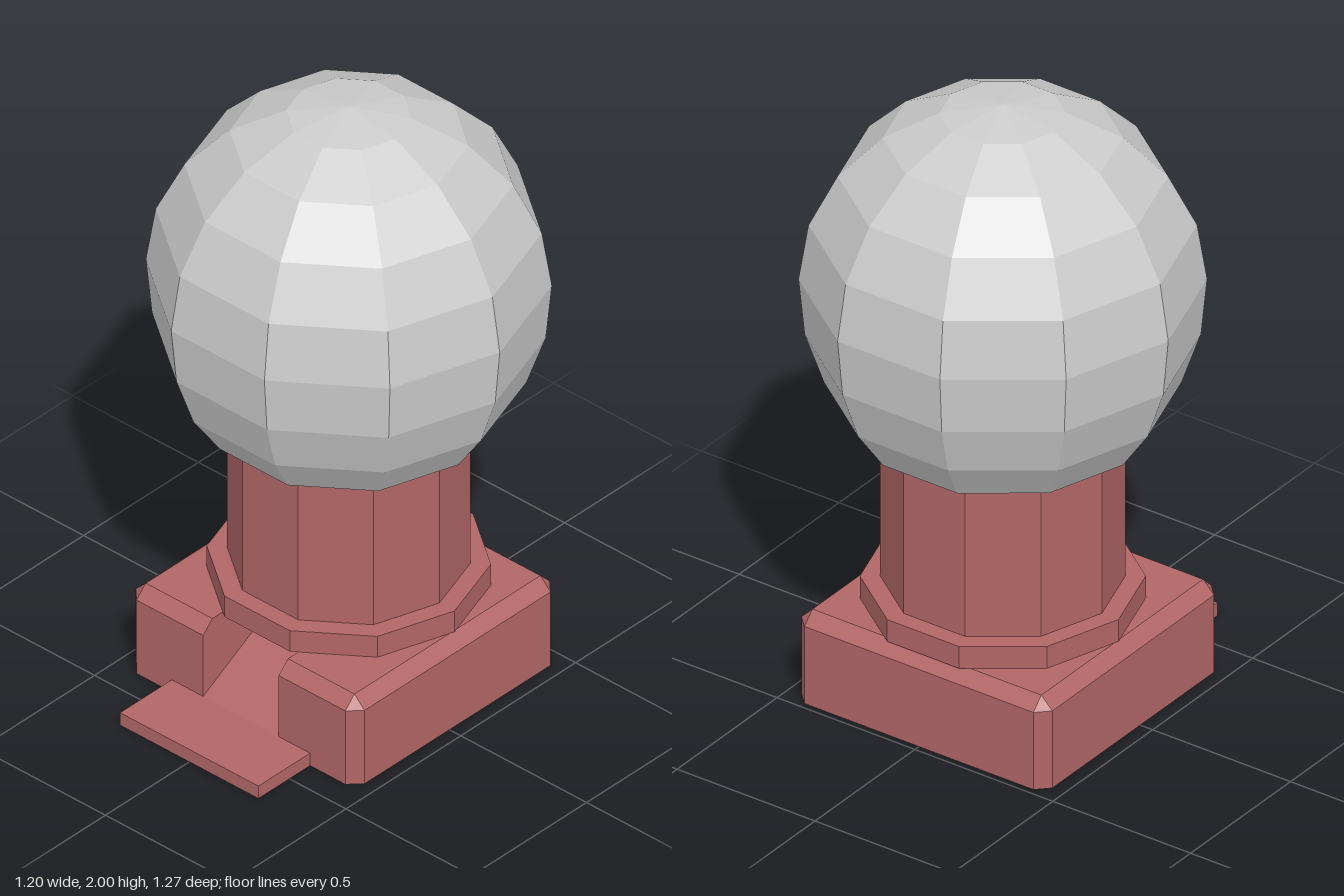
import * as THREE from 'three';
import { ConvexGeometry } from 'three/addons/geometries/ConvexGeometry.js';

const SIDES = 10;
const AXIS_Z = -0.06;

export function createModel() {
  const model = new THREE.Group();
  const grey = new THREE.MeshStandardMaterial({ color: 0xcccccc, flatShading: true });
  const red = new THREE.MeshStandardMaterial({ color: 0xb26666, flatShading: true });

  const add = (name, geometry, material, z = 0) => {
    const mesh = new THREE.Mesh(geometry, material);
    mesh.name = name;
    mesh.position.z = z;
    model.add(mesh);
  };

  // Ten-sided turned part, given as [radius, height] from bottom to top
  const turned = (points) => new THREE.LatheGeometry(
    points.map(([r, y]) => new THREE.Vector2(r, y)), SIDES, Math.PI / 2);

  // Globe: hemisphere above, slightly fuller bowl below, closed in to the column
  const globe = [[0.34, 0.9], [0.435, 0.915], [0.525, 1.045], [0.582, 1.21]];
  for (let i = 5; i >= 0; i--) {
    const a = (i * Math.PI) / 10;
    globe.push([0.6 * Math.sin(a), 1.4 + 0.6 * Math.cos(a)]);
  }
  add('globe', turned(globe), grey, AXIS_Z);

  // Column and the collar at its foot
  add('column', turned([[0.36, 0.28], [0.36, 0.905]]), red, AXIS_Z);
  add('collar', turned([[0, 0.305], [0.42, 0.305], [0.42, 0.38], [0.35, 0.38]]), red, AXIS_Z);

  // Base sides: chamfered blocks either side of the front notch
  const outline = [[0.15, 0.41], [0.415, 0.41], [0.455, 0.37],
    [0.455, -0.44], [0.415, -0.48], [0.15, -0.48]];
  for (const side of [1, -1]) {
    const points = [];
    for (const [x, z] of outline) {
      for (const y of [0, 0.265]) points.push(new THREE.Vector3(side * x, y, z));
    }
    for (const x of [0.15, 0.415]) {
      for (const z of [0.37, -0.44]) points.push(new THREE.Vector3(side * x, 0.305, z));
    }
    add(side > 0 ? 'baseLeft' : 'baseRight', new ConvexGeometry(points), red);
  }

  // Base middle: side profile (z, y) with the notch floor rising to the back
  const profile = new THREE.Shape([[0.41, 0], [0.41, 0.045], [-0.05, 0.305],
    [-0.44, 0.305], [-0.48, 0.265], [-0.48, 0]].map(([z, y]) => new THREE.Vector2(z, y)));
  const middle = new THREE.ExtrudeGeometry(profile, { depth: 0.3, bevelEnabled: false });
  middle.rotateY(-Math.PI / 2).translate(0.15, 0, 0);
  add('baseMiddle', middle, red);

  // Thin plate projecting at the front
  const plate = new THREE.BoxGeometry(0.55, 0.045, 0.235);
  plate.translate(0, 0.0225, 0.5175);
  add('frontPlate', plate, red);

  return model;
}
